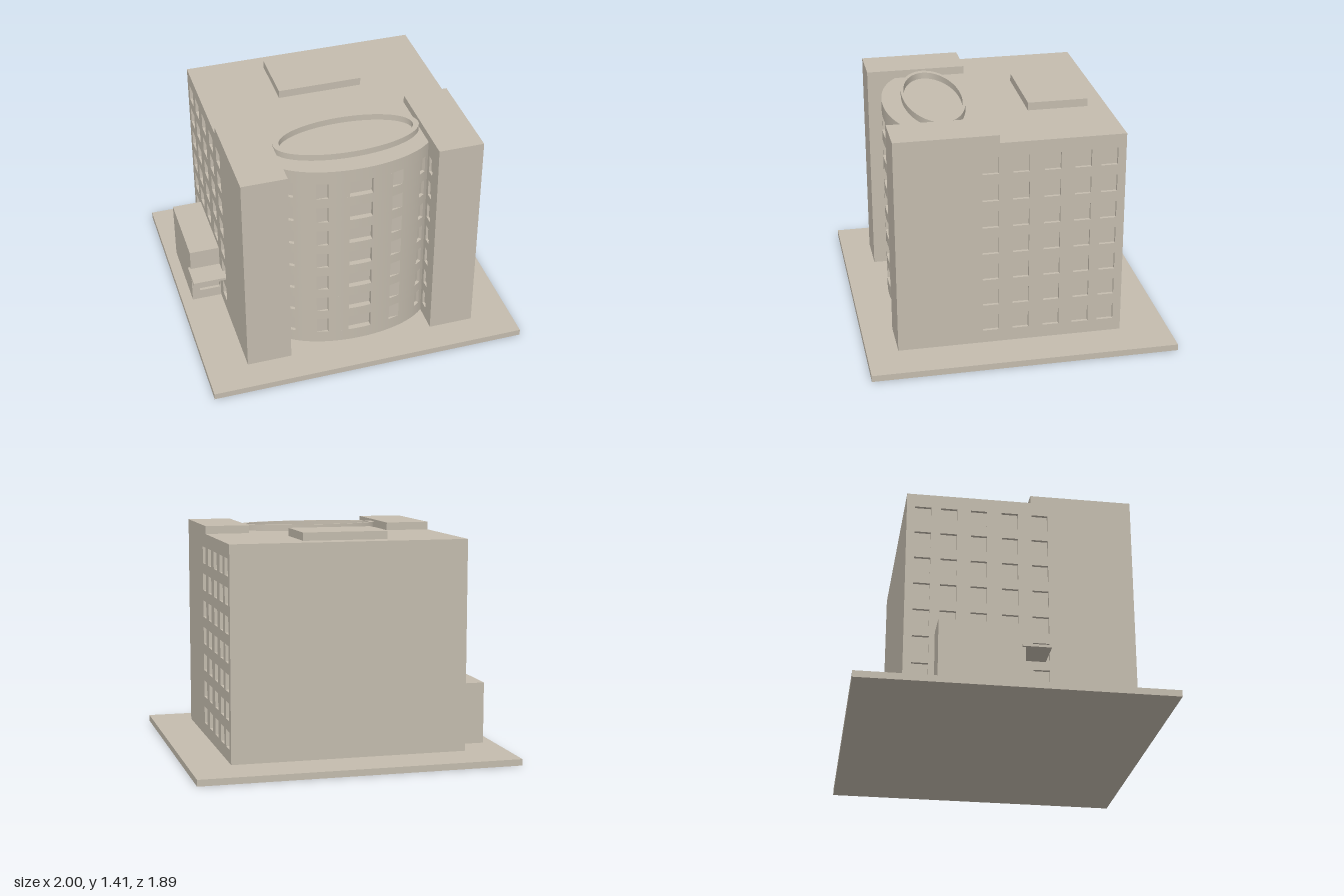
import * as THREE from 'three';
import { toCreasedNormals } from 'three/addons/utils/BufferGeometryUtils.js';

const BASE_TOP = 0.04, ROOF = 1.36, PARAPET = 1.41;
const SIDE_X = 0.74, TOWER_X = 0.46, TOWER_BACK = 0.12, FRONT_Z = 0.75, BACK_Z = -0.645;
const WINDOW_ROWS = 7, ROW_PITCH = 0.174, FIRST_ROW = 0.122, WINDOW_H = 0.107;
const SIDE_WINDOWS = [0.175, -0.01, -0.2, -0.385, -0.545];

// Depth of the bowed front wall at a given x
const bow = (x) => 0.45 + 0.26 * Math.sqrt(1 - (x / 0.5186) ** 2);

// Points along the bowed wall
function arc(x0, x1) {
  const n = Math.max(2, Math.ceil((x1 - x0) / 0.015));
  return Array.from({ length: n + 1 }, (_, i) => {
    const x = x0 + (x1 - x0) * i / n;
    return [x, bow(x)];
  });
}

// Half of the building plan, from front centre to back; notched where windows are set in
function halfPlan(notched) {
  const p = [];
  if (notched) {
    p.push([0, 0.675], [0.072, 0.675], ...arc(0.072, 0.2));
    p.push([0.2, bow(0.27)], ...arc(0.27, 0.395));
    p.push([0.384, bow(0.395) - 0.017], [0.424, bow(0.435) - 0.017], ...arc(0.435, TOWER_X));
    p.push([TOWER_X, 0.6], [0.475, 0.6], [0.475, 0.655], [TOWER_X, 0.655]);
  } else {
    p.push(...arc(0, TOWER_X));
  }
  p.push([TOWER_X, FRONT_Z], [SIDE_X, FRONT_Z]);
  if (notched) {
    for (const z of SIDE_WINDOWS) {
      p.push([SIDE_X, z + 0.05], [SIDE_X - 0.02, z + 0.05], [SIDE_X - 0.02, z - 0.05], [SIDE_X, z - 0.05]);
    }
  }
  p.push([SIDE_X, BACK_Z]);
  return p;
}

function planShape(notched) {
  const half = halfPlan(notched);
  const mirrored = half.map(([x, z]) => [-x, z]).reverse();
  if (half[0][0] === 0) mirrored.pop();
  return new THREE.Shape([...half, ...mirrored].map(([x, z]) => new THREE.Vector2(x, -z)));
}

// Upright extrusion of a plan shape between two heights
function storey(shape, y0, y1, curveSegments = 12) {
  const g = new THREE.ExtrudeGeometry(shape, { depth: y1 - y0, bevelEnabled: false, curveSegments });
  g.rotateX(-Math.PI / 2).translate(0, y0, 0);
  return toCreasedNormals(g, 0.25);
}

export function createModel() {
  const model = new THREE.Group();
  model.name = 'building';
  const stone = new THREE.MeshStandardMaterial({ color: 0xc4bcae });
  stone.name = 'warm grey stone';

  const add = (name, geometry, parent = model) => {
    const mesh = new THREE.Mesh(geometry, stone);
    mesh.name = name;
    parent.add(mesh);
    return mesh;
  };
  const block = (name, x0, x1, y0, y1, z0, z1, parent) => {
    const g = new THREE.BoxGeometry(x1 - x0, y1 - y0, z1 - z0);
    g.translate((x0 + x1) / 2, (y0 + y1) / 2, (z0 + z1) / 2);
    return add(name, g, parent);
  };

  block('basePlate', -1, 1, 0, BASE_TOP, -0.945, 0.945);

  // Main body: plain wall bands alternating with window bands
  const body = new THREE.Group();
  body.name = 'mainBody';
  model.add(body);
  const plain = planShape(false), notched = planShape(true);
  let y = BASE_TOP;
  for (let i = 0; i < WINDOW_ROWS; i++) {
    const sill = FIRST_ROW + i * ROW_PITCH;
    add('wallBand', storey(plain, y, sill), body);
    add('windowBand', storey(notched, sill, sill + WINDOW_H), body);
    y = sill + WINDOW_H;
  }
  add('topWallBand', storey(plain, y, ROOF), body);

  // Raised tops of the two front towers
  block('leftTowerTop', TOWER_X, SIDE_X, ROOF, PARAPET, TOWER_BACK, FRONT_Z);
  block('rightTowerTop', -SIDE_X, -TOWER_X, ROOF, PARAPET, TOWER_BACK, FRONT_Z);

  // Roof details
  block('roofHousing', -0.265, 0.265, ROOF, PARAPET, -0.525, -0.15);
  const ring = new THREE.Shape().absellipse(0, -0.397, 0.454, 0.19, 0, Math.PI * 2);
  ring.holes.push(new THREE.Path().absellipse(0, -0.397, 0.416, 0.174, 0, Math.PI * 2));
  add('roofRing', storey(ring, ROOF, 1.4, 32));

  // Side annex with a recessed opening beneath a canopy
  const annex = new THREE.Group();
  annex.name = 'annex';
  model.add(annex);
  block('annexBody', -0.93, -SIDE_X, BASE_TOP, 0.43, -0.46, 0.03, annex);
  const rect = (Type, x0, x1, y0, y1) => new Type([[x0, y0], [x1, y0], [x1, y1], [x0, y1]]
    .map(([x, h]) => new THREE.Vector2(x, h)));
  const wall = rect(THREE.Shape, -0.93, -SIDE_X, BASE_TOP, 0.43);
  wall.holes.push(rect(THREE.Path, -0.88, -0.746, 0.107, 0.268));
  const wallGeometry = new THREE.ExtrudeGeometry(wall, { depth: 0.02, bevelEnabled: false });
  add('annexFrontWall', wallGeometry.translate(0, 0, 0.03), annex);
  block('canopy', -0.945, -SIDE_X, 0.283, 0.299, 0.03, 0.2, annex);

  return model;
}
